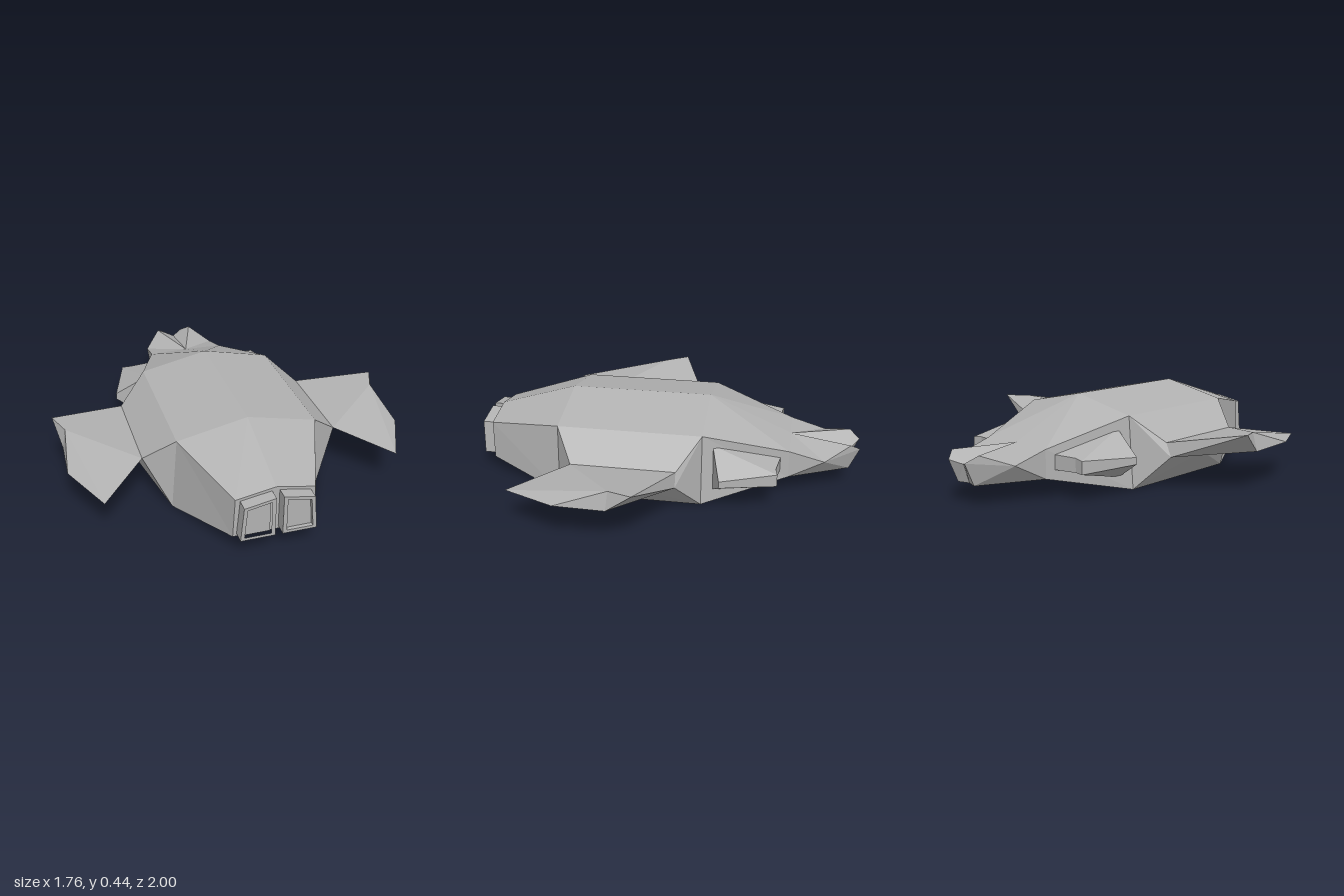
import * as THREE from 'three';

const hullGrey = new THREE.MeshStandardMaterial({ color: 0xb2b2b2 });
hullGrey.name = 'hullGrey';
hullGrey.flatShading = true;

// Builds a faceted half shell from named points; each face is turned away from the centre.
function shell(name, pts, faces, centre, mirror) {
  const s = mirror ? -1 : 1;
  const mid = new THREE.Vector3(centre[0] * s, centre[1], centre[2]);
  const out = [];
  for (const face of faces) {
    const v = face.split(' ').map(k => new THREE.Vector3(pts[k][0] * s, pts[k][1], pts[k][2]));
    const n = v[1].clone().sub(v[0]).cross(v[2].clone().sub(v[0]));
    if (n.dot(v[0].clone().sub(mid)) < 0) v.reverse();
    for (let i = 1; i < v.length - 1; i++) {
      for (const p of [v[0], v[i], v[i + 1]]) out.push(p.x, p.y, p.z);
    }
  }
  const geo = new THREE.BufferGeometry();
  geo.setAttribute('position', new THREE.Float32BufferAttribute(out, 3));
  geo.computeVertexNormals();
  const mesh = new THREE.Mesh(geo, hullGrey);
  mesh.name = (mirror ? 'right' : 'left') + name;
  return mesh;
}

// Hull, left half
const hull = {
  noseTop: [0, 0.32, 0.94], noseSide: [0.19, 0.285, 0.94], noseLow: [0.2, 0.085, 0.94], noseKeel: [0, 0.085, 0.94],
  foreTop: [0, 0.445, 0.53], foreSide: [0.35, 0.37, 0.53], foreLow: [0.38, 0, 0.53], foreKeel: [0, 0, 0.53],
  backTop: [0, 0.445, -0.21], backSide: [0.35, 0.37, -0.21], backLow: [0.38, 0, -0.21], backKeel: [0, 0, -0.21],
  rootF: [0.5, 0.24, 0.43], rootB: [0.5, 0.24, -0.1], underF: [0.53, 0.155, 0.16], underB: [0.53, 0.17, -0.1],
  rearTop: [0, 0.255, -0.64], rearSide: [0.21, 0.25, -0.64], rearLow: [0.21, 0.105, -0.64], rearKeel: [0, 0.105, -0.64],
};
const hullFaces = [
  'noseTop noseSide noseLow noseKeel',
  'noseTop noseSide foreSide foreTop', 'noseSide noseLow foreLow foreSide', 'noseLow noseKeel foreKeel foreLow',
  'foreTop foreSide backSide backTop', 'foreSide rootF rootB backSide',
  'foreSide foreLow rootF', 'foreLow underF rootF', 'foreLow backLow underF', 'backLow underB underF',
  'rootF underF underB rootB', 'backLow backSide underB', 'backSide rootB underB',
  'foreLow foreKeel backKeel backLow',
  'backTop backSide rearSide', 'backTop rearSide rearTop',
  'backSide backLow rearLow rearSide', 'backLow backKeel rearKeel rearLow',
];

// Forked tail, left half
const tail = {
  ...hull,
  flank: [0.2, 0.2, -0.82], crest: [0.1, 0.255, -0.95], prong: [0.06, 0.22, -1],
  notch: [0, 0.2, -0.96], heel: [0.06, 0.105, -0.95], keel: [0, 0.105, -0.93],
};
const tailFaces = [
  'rearTop rearSide flank', 'rearTop flank crest', 'rearTop crest notch', 'crest prong notch',
  'flank prong crest', 'flank heel prong', 'rearSide rearLow flank', 'rearLow heel flank',
  'rearLow rearKeel keel heel', 'heel keel notch prong',
];

// Swept wing
const wing = {
  ...hull,
  front: [0.73, 0.2, 0.69], edge: [0.86, 0.215, 0.42], ridge: [0.83, 0.3, 0.16],
  tip: [0.88, 0.31, 0.04], under: [0.85, 0.205, 0.17],
};
const wingFaces = [
  'rootF front ridge', 'front edge ridge', 'rootF ridge rootB', 'ridge tip rootB',
  'edge under ridge', 'ridge under tip',
  'rootF front underF', 'front edge under', 'front under underF',
  'underF under underB', 'underB under tip', 'underB tip rootB',
];

// Small rear fin: tall root narrowing to a thin outer edge
const fin = {
  a: [0.32, 0.31, -0.26], b: [0.33, 0.065, -0.26], c: [0.2, 0.22, -0.6], d: [0.2, 0.145, -0.6],
  e: [0.49, 0.2, -0.31], f: [0.49, 0.165, -0.31], g: [0.4, 0.215, -0.59], h: [0.4, 0.15, -0.59],
  i: [0.35, 0.22, -0.58], j: [0.35, 0.15, -0.58],
};
const finFaces = ['a e g', 'a g i', 'a i c', 'b f h', 'b h j', 'b j d', 'a b f e', 'e f h g', 'g h j i', 'i j d c'];

// Nose port: a raised frame around a recessed panel
function outline(Type, corners, s) {
  const shape = new Type();
  corners.forEach(([x, y], i) => (i ? shape.lineTo(x * s, y) : shape.moveTo(x * s, y)));
  shape.closePath();
  return shape;
}

function nosePort(s) {
  const port = new THREE.Group();
  port.name = s > 0 ? 'leftNosePort' : 'rightNosePort';
  const inner = [[0.037, 0.115], [0.163, 0.115], [0.15, 0.262], [0.037, 0.284]];
  const frame = outline(THREE.Shape, [[0.018, 0.1], [0.182, 0.1], [0.167, 0.275], [0.018, 0.302]], s);
  frame.holes.push(outline(THREE.Path, inner, s));
  const frameMesh = new THREE.Mesh(new THREE.ExtrudeGeometry(frame, { depth: 0.07, bevelEnabled: false }), hullGrey);
  frameMesh.position.z = 0.93;
  frameMesh.name = 'portFrame';
  const panel = outline(THREE.Shape, inner, s);
  const panelMesh = new THREE.Mesh(new THREE.ExtrudeGeometry(panel, { depth: 0.05, bevelEnabled: false }), hullGrey);
  panelMesh.position.z = 0.93;
  panelMesh.name = 'portPanel';
  port.add(frameMesh, panelMesh);
  return port;
}

export function createModel() {
  const ship = new THREE.Group();
  ship.name = 'ship';
  for (const mirror of [false, true]) {
    ship.add(
      shell('Hull', hull, hullFaces, [0.1, 0.2, 0.1], mirror),
      shell('Tail', tail, tailFaces, [0.1, 0.19, -0.8], mirror),
      shell('Wing', wing, wingFaces, [0.7, 0.215, 0.2], mirror),
      shell('RearFin', fin, finFaces, [0.36, 0.183, -0.43], mirror),
      nosePort(mirror ? -1 : 1),
    );
  }
  return ship;
}
